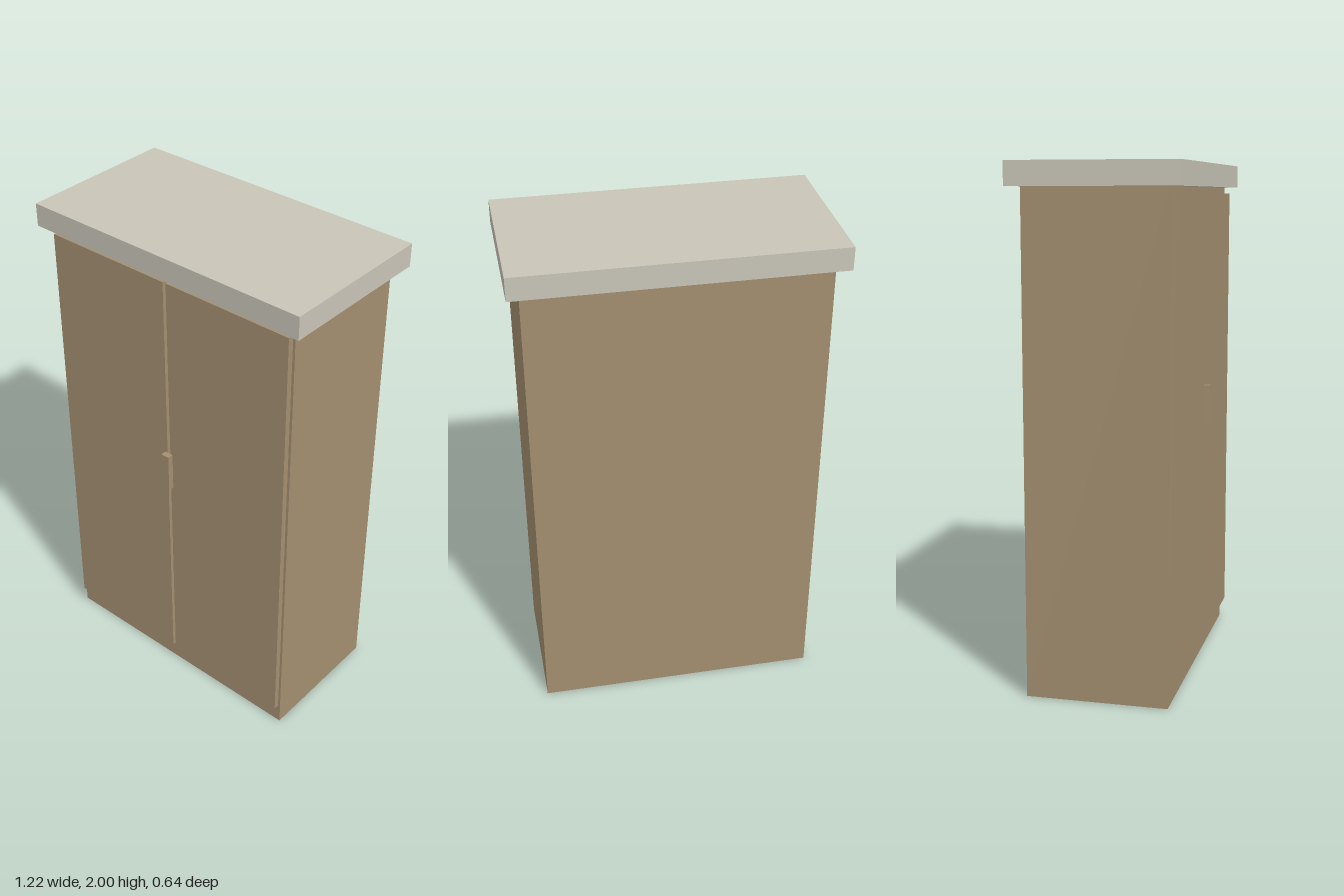
import * as THREE from 'three';

export function createModel() {
  const wood = new THREE.MeshStandardMaterial({ name: 'tanWood', color: 0xa38f70 });
  const stone = new THREE.MeshStandardMaterial({ name: 'paleTop', color: 0xc9c5b8 });
  const group = new THREE.Group();
  group.name = 'cabinet';

  // Box given by its lower and upper corners
  const box = (name, material, [x0, y0, z0], [x1, y1, z1]) => {
    const mesh = new THREE.Mesh(new THREE.BoxGeometry(x1 - x0, y1 - y0, z1 - z0), material);
    mesh.position.set((x0 + x1) / 2, (y0 + y1) / 2, (z0 + z1) / 2);
    mesh.name = name;
    group.add(mesh);
  };

  // Carcass and overhanging top slab
  box('body', wood, [-0.563, 0, -0.273], [0.563, 1.91, 0.273]);
  box('topSlab', stone, [-0.61, 1.91, -0.32], [0.61, 2, 0.32]);

  // Pair of doors with a narrow gap between them
  box('leftDoor', wood, [0.007, 0.085, 0.273], [0.553, 1.885, 0.296]);
  box('rightDoor', wood, [-0.553, 0.085, 0.273], [-0.007, 1.885, 0.296]);

  // Handle across the gap
  box('handle', wood, [-0.018, 0.975, 0.296], [0.018, 1.135, 0.32]);

  return group;
}
